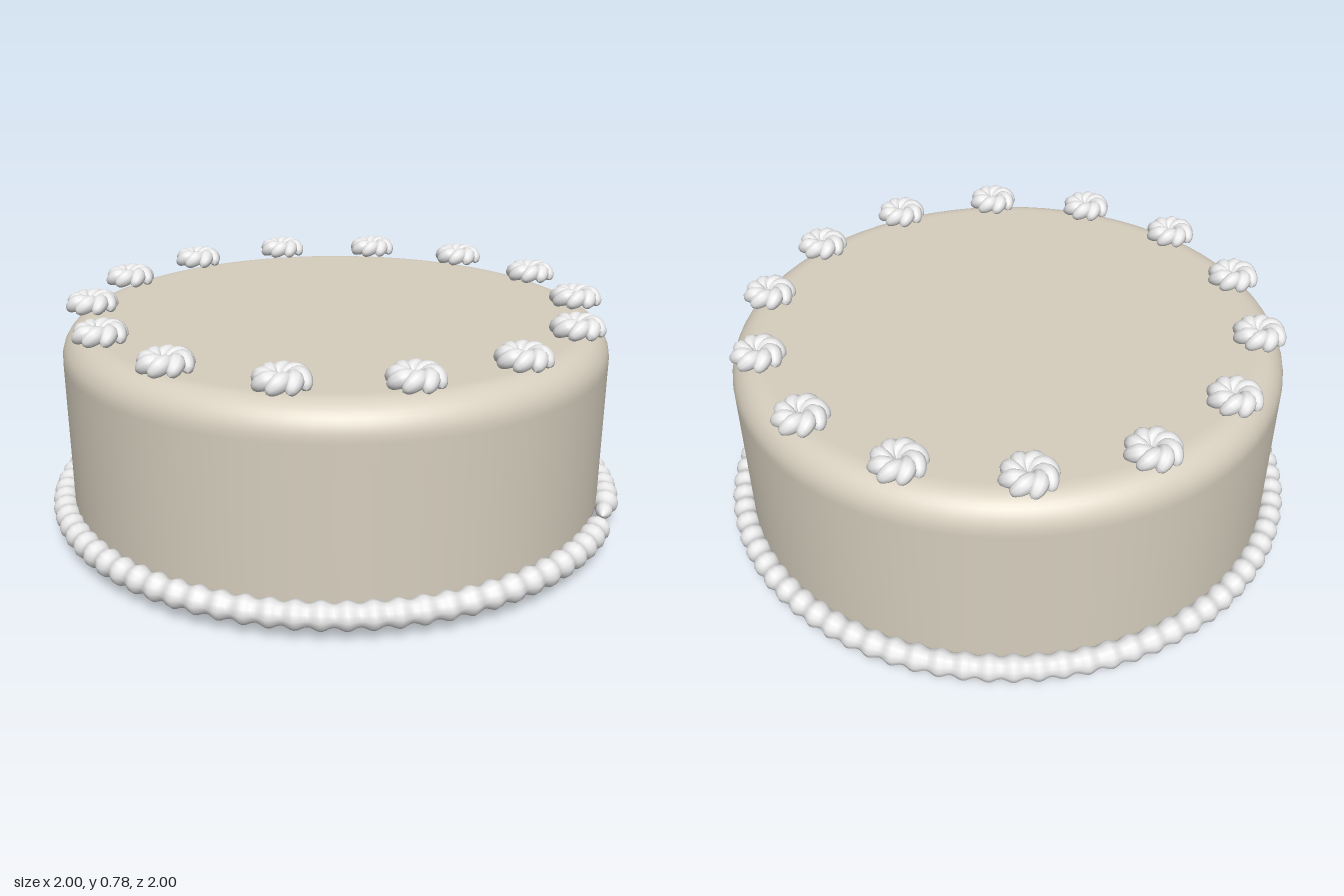
import * as THREE from 'three';
import { mergeGeometries, mergeVertices } from 'three/addons/utils/BufferGeometryUtils.js';

const icing = new THREE.MeshStandardMaterial({ color: 0xd6cebe });
icing.name = 'beige icing';
const cream = new THREE.MeshStandardMaterial({ color: 0xececec });
cream.name = 'white cream';

// Curve given by a function of t
class PathCurve extends THREE.Curve {
  constructor(fn) {
    super();
    this.fn = fn;
  }
  getPoint(t, target = new THREE.Vector3()) {
    return target.copy(this.fn(t));
  }
}

// Piped strand: a tube whose radius follows radiusAt(t)
function piped(pathFn, segments, sides, radiusAt) {
  const curve = new PathCurve(pathFn);
  const tube = new THREE.TubeGeometry(curve, segments, 1, sides, false);
  const pos = tube.attributes.position;
  const v = new THREE.Vector3();
  for (let i = 0; i <= segments; i++) {
    const t = i / segments;
    const centre = curve.getPointAt(t);
    for (let j = 0; j <= sides; j++) {
      const k = i * (sides + 1) + j;
      v.fromBufferAttribute(pos, k).sub(centre).multiplyScalar(radiusAt(t)).add(centre);
      pos.setXYZ(k, v.x, v.y, v.z);
    }
  }
  tube.deleteAttribute('uv');
  tube.deleteAttribute('normal');
  const welded = mergeVertices(tube, 1e-5);
  welded.computeVertexNormals();
  return welded;
}

// Cake: lathed drum with rounded top and bottom edges
function cakeBody() {
  const R = 0.925, H = 0.7, f = 0.1, steps = 10;
  const profile = [new THREE.Vector2(0, 0), new THREE.Vector2(R - f - 0.01, 0)];
  for (let i = 0; i <= steps; i++) {
    const a = -Math.PI / 2 + (i / steps) * Math.PI / 2;
    profile.push(new THREE.Vector2(R - f + f * Math.cos(a), f + f * Math.sin(a)));
  }
  profile.push(new THREE.Vector2(R, f + 0.01), new THREE.Vector2(R, H - f - 0.01));
  for (let i = 0; i <= steps; i++) {
    const a = (i / steps) * Math.PI / 2;
    profile.push(new THREE.Vector2(R - f + f * Math.cos(a), H - f + f * Math.sin(a)));
  }
  profile.push(new THREE.Vector2(R - f - 0.01, H), new THREE.Vector2(0, H));
  return new THREE.LatheGeometry(profile, 72);
}

// Base border: beaded rope running round the cake, with a small gap at the front
function borderGeometry() {
  const beads = 80, r = 0.955;
  const start = THREE.MathUtils.degToRad(28.5);
  const sweep = THREE.MathUtils.degToRad(357);
  const path = t => {
    const a = start + sweep * t;
    return new THREE.Vector3(r * Math.sin(a), 0.08, r * Math.cos(a));
  };
  const radius = t => {
    const bead = 0.039 - 0.006 * Math.cos(2 * Math.PI * beads * t);
    const end = Math.min(1, t * beads / 1.5, (1 - t) * beads / 0.6);
    return bead * Math.sqrt(Math.max(end, 0)) + 0.0005;
  };
  return piped(path, beads * 8, 12, radius);
}

// Rosette: curved lobes swirling out from a dimpled centre
function rosetteGeometry() {
  const lobes = 8;
  const path = t => {
    const r = 0.012 + 0.068 * t;
    const a = 1.25 * t;
    const y = 0.033 + 0.024 * Math.sin(Math.PI * (0.1 + 0.85 * t)) - 0.014 * t * t;
    return new THREE.Vector3(r * Math.cos(a), y, r * Math.sin(a));
  };
  const radius = t => 0.0275 * Math.pow(Math.sin(Math.PI * (0.08 + 0.92 * t)), 0.45) * (0.55 + 0.45 * Math.min(1, t * 2)) + 0.0003;
  const lobe = piped(path, 16, 10, radius);
  return mergeGeometries(Array.from({ length: lobes }, (_, i) =>
    lobe.clone().rotateY((i / lobes) * Math.PI * 2)));
}

export function createModel() {
  const model = new THREE.Group();
  model.name = 'cake';

  const body = new THREE.Mesh(cakeBody(), icing);
  body.name = 'cakeBody';

  const border = new THREE.Mesh(borderGeometry(), cream);
  border.name = 'baseBorder';
  model.add(body, border);

  // Ring of rosettes along the top edge
  const rosettes = new THREE.Group();
  rosettes.name = 'rosettes';
  const geometry = rosetteGeometry();
  const count = 14, ring = 0.83;
  for (let i = 0; i < count; i++) {
    const a = (i / count) * Math.PI * 2;
    const rosette = new THREE.Mesh(geometry, cream);
    rosette.name = `rosette${i + 1}`;
    rosette.position.set(ring * Math.sin(a), 0.7, ring * Math.cos(a));
    rosettes.add(rosette);
  }
  model.add(rosettes);
  return model;
}
